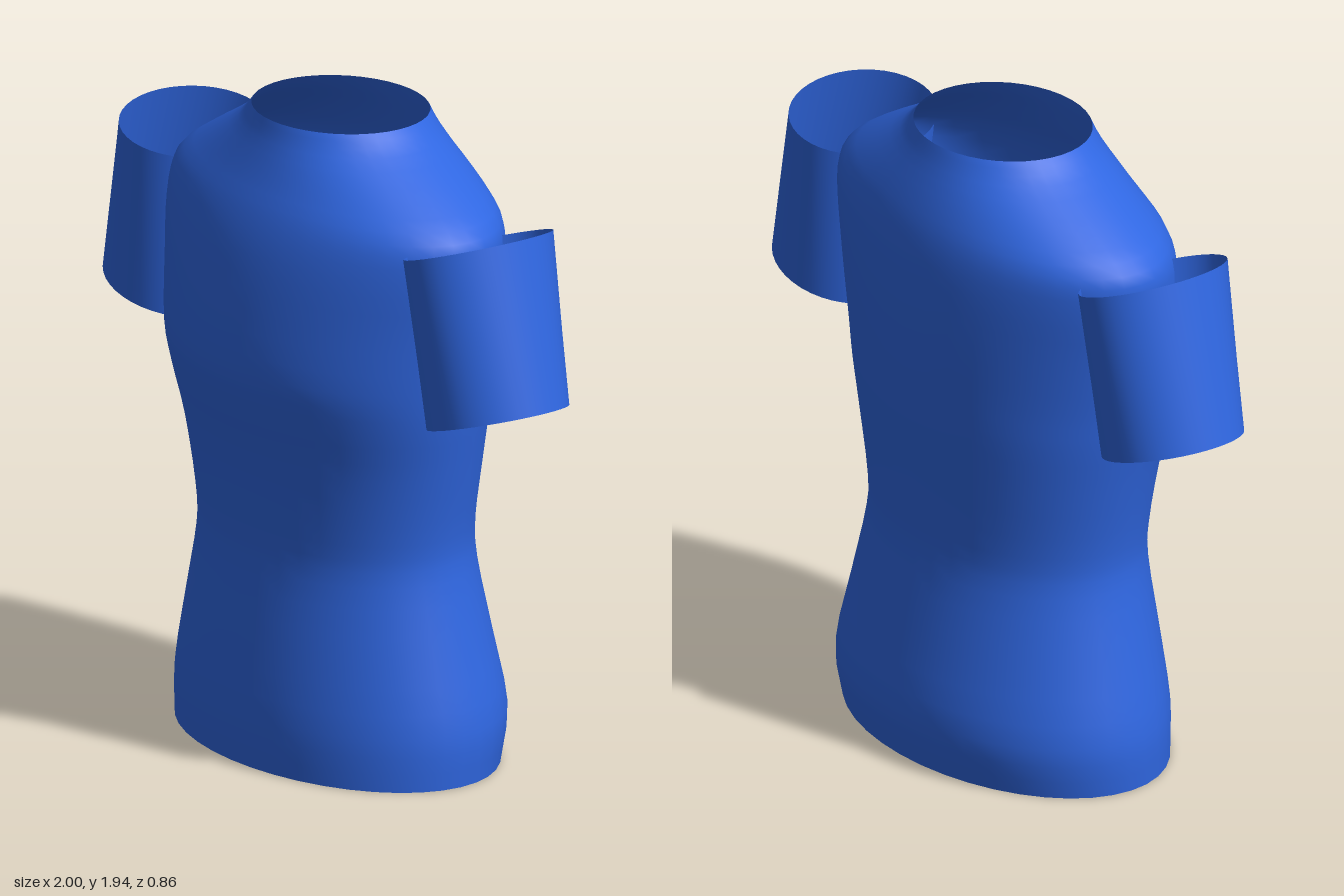
import * as THREE from 'three';

const SIDES = 40;

// Open tube through elliptical rings: each ring is { c: centre, u, v: half-axis vectors }
function loft(rings) {
  const positions = [], index = [];
  for (const { c, u, v } of rings) {
    for (let i = 0; i < SIDES; i++) {
      const a = (i / SIDES) * Math.PI * 2;
      const p = c.clone().addScaledVector(u, Math.cos(a)).addScaledVector(v, Math.sin(a));
      positions.push(p.x, p.y, p.z);
    }
  }
  for (let r = 0; r < rings.length - 1; r++) {
    for (let i = 0; i < SIDES; i++) {
      const a = r * SIDES + i, b = r * SIDES + ((i + 1) % SIDES);
      index.push(a, a + SIDES, b, b, a + SIDES, b + SIDES);
    }
  }
  const geometry = new THREE.BufferGeometry();
  geometry.setAttribute('position', new THREE.Float32BufferAttribute(positions, 3));
  geometry.setIndex(index);
  geometry.computeVertexNormals();
  return geometry;
}

const vec = (x, y, z) => new THREE.Vector3(x, y, z);

// Body outline from hem to neck: height, half width, front z, back z
const OUTLINE = [
  [0.00, 0.605, 0.382, -0.398],
  [0.16, 0.608, 0.386, -0.427],
  [0.38, 0.558, 0.365, -0.390],
  [0.60, 0.510, 0.340, -0.350],
  [0.73, 0.508, 0.344, -0.345],
  [0.94, 0.545, 0.370, -0.362],
  [1.10, 0.578, 0.408, -0.378],
  [1.23, 0.598, 0.430, -0.386],
  [1.42, 0.628, 0.410, -0.390],
  [1.58, 0.655, 0.378, -0.383],
  [1.69, 0.645, 0.340, -0.365],
  [1.78, 0.520, 0.295, -0.335],
  [1.88, 0.350, 0.250, -0.292],
  [1.94, 0.283, 0.230, -0.270],
];

function bodyGeometry() {
  const curve = (column) => new THREE.CatmullRomCurve3(
    OUTLINE.map((o) => vec(o[1], o[0], o[column])), false, 'catmullrom', 0.5);
  const front = curve(2), back = curve(3);
  const rings = [], steps = (OUTLINE.length - 1) * 3;
  for (let i = 0; i <= steps; i++) {
    const f = front.getPoint(i / steps), b = back.getPoint(i / steps);
    rings.push({
      c: vec(0, f.y, (f.z + b.z) / 2),
      u: vec(f.x, 0, 0),
      v: vec(0, 0, -(f.z - b.z) / 2),
    });
  }
  return loft(rings);
}

// Sleeve, oval at the shoulder and round at the cuff, open at both ends
function sleeveGeometry(side) {
  const ring = (x, y, dx, dy, depth) => ({
    c: vec(side * x, y, -0.002),
    u: vec(dx, side * dy, 0),
    v: vec(0, 0, -depth),
  });
  return loft([
    ring(0.797, 1.195, 0.203, 0.062, 0.212),
    ring(0.700, 1.701, 0.171, 0.054, 0.242),
  ]);
}

export function createModel() {
  const fabric = new THREE.MeshStandardMaterial({ color: 0x2f66e0, side: THREE.DoubleSide });
  fabric.name = 'blue fabric';

  const group = new THREE.Group();
  group.name = 'shirt';
  const add = (name, geometry) => {
    const mesh = new THREE.Mesh(geometry, fabric);
    mesh.name = name;
    group.add(mesh);
  };

  add('body', bodyGeometry());
  add('leftSleeve', sleeveGeometry(1));
  add('rightSleeve', sleeveGeometry(-1));
  return group;
}
